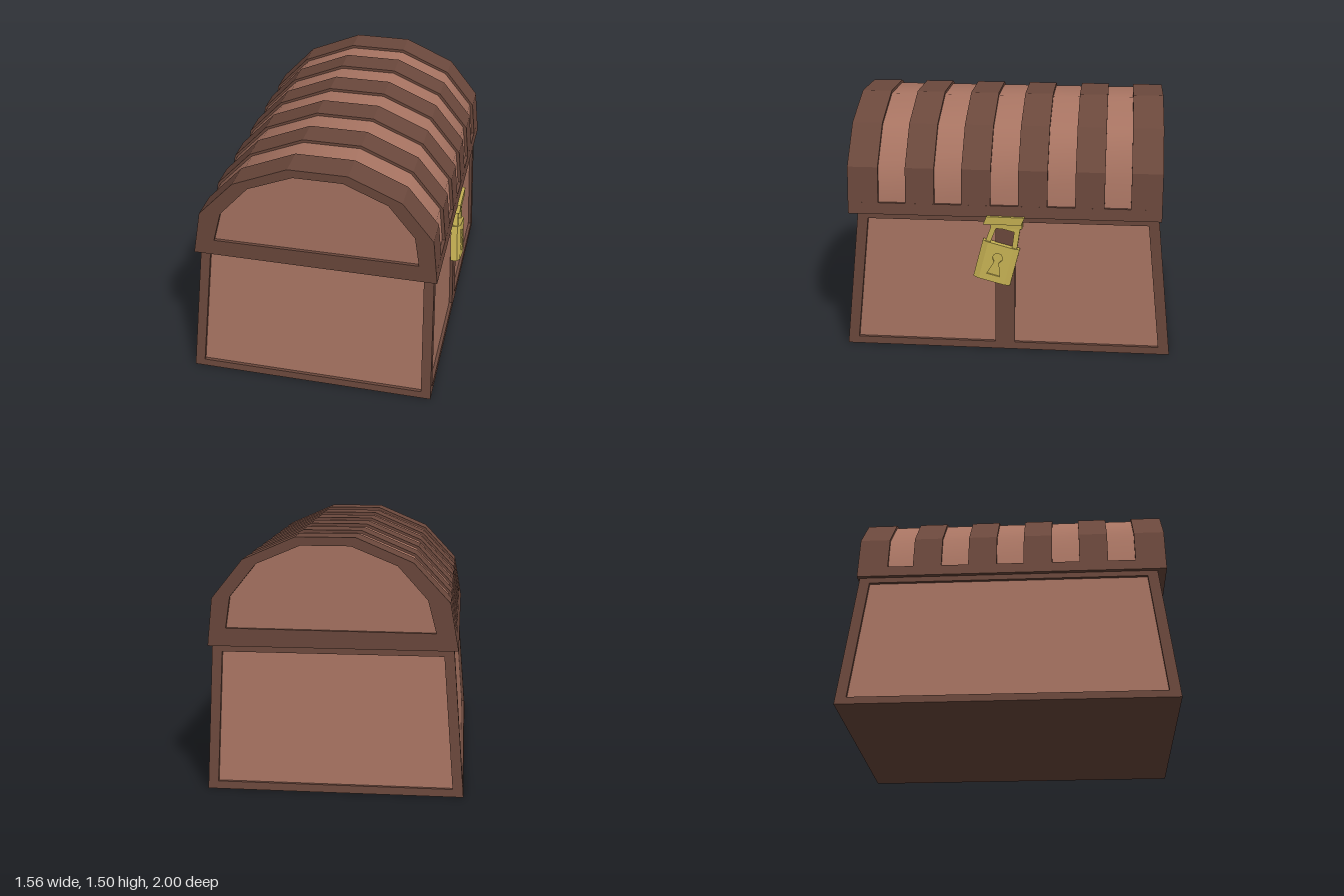
import * as THREE from 'three';
import { toCreasedNormals } from 'three/addons/utils/BufferGeometryUtils.js';

const material = (name, color) => {
  const m = new THREE.MeshStandardMaterial({ color });
  m.name = name;
  return m;
};

const shapeOf = (points) => new THREE.Shape(points.map(([x, y]) => new THREE.Vector2(x, y)));
const pathOf = (points) => new THREE.Path(points.map(([x, y]) => new THREE.Vector2(x, y)));

function extrude(points, depth, holes = []) {
  const shape = shapeOf(points);
  shape.holes = holes.map(pathOf);
  return new THREE.ExtrudeGeometry(shape, { depth, bevelEnabled: false, curveSegments: 8 });
}

// Move every vertex by a rule (x, y, z) -> [x, y, z]
function remap(geometry, rule) {
  const p = geometry.attributes.position;
  for (let i = 0; i < p.count; i++) p.setXYZ(i, ...rule(p.getX(i), p.getY(i), p.getZ(i)));
  geometry.computeVertexNormals();
  return geometry;
}

// Sloping walls of the box as functions of height
const WALL_H = 0.86;
const leftX = (y) => -0.79 + (0.07 * y) / WALL_H;
const rightX = (y) => 0.725 - (0.025 * y) / WALL_H;
const endZ = (y) => 1 - (0.09 * y) / WALL_H;

function frustum(y0, y1, inset) {
  return remap(new THREE.BoxGeometry(1, 1, 1), (x, y, z) => {
    const h = y < 0 ? y0 : y1;
    return [x < 0 ? leftX(h) + inset : rightX(h) - inset, h, Math.sign(z) * (endZ(h) - inset)];
  });
}

// Frame for one wall, drawn flat, then leaned onto the slope
function wallFrame(lo, hi, margin, post, place) {
  const y0 = 0.045, y1 = 0.82, depth = 0.025;
  const quad = (a, b, bottom, top) => [[a(bottom), bottom], [b(bottom), bottom], [b(top), top], [a(top), top]];
  const a = (y) => lo(y) + margin, b = (y) => hi(y) - margin;
  const holes = post
    ? [quad(a, () => post[0], y0, y1), quad(() => post[1], b, y0, y1)]
    : [quad(a, b, y0, y1)];
  return remap(extrude(quad(lo, hi, 0, WALL_H), depth, holes), (u, y, t) => place(u, y, t - depth));
}

export function createModel() {
  const model = new THREE.Group();
  model.name = 'treasureChest';
  const darkWood = material('dark wood', 0x6b483c);
  const lightWood = material('light wood', 0xa87462);
  const brass = material('brass', 0xc6b153);

  const add = (parent, name, geometry, mat) => {
    const mesh = new THREE.Mesh(geometry, mat);
    mesh.name = name;
    parent.add(mesh);
    return mesh;
  };

  // Box: recessed panels, floor and four wall frames
  const box = new THREE.Group();
  box.name = 'box';
  model.add(box);
  add(box, 'wallPanels', frustum(0.01, 0.86, 0.02), lightWood);
  add(box, 'floor', frustum(0, 0.03, 0.001), darkWood);
  const negZ = (y) => -endZ(y);
  add(box, 'frontFrame', wallFrame(leftX, rightX, 0.06, null,
    (u, y, t) => [u, y, endZ(y) + t]), darkWood);
  add(box, 'backFrame', wallFrame((y) => -rightX(y), (y) => -leftX(y), 0.06, null,
    (u, y, t) => [-u, y, -endZ(y) - t]), darkWood);
  add(box, 'lockSideFrame', wallFrame(negZ, endZ, 0.065, [-0.07, 0.05],
    (u, y, t) => [rightX(y) + t, y, -u]), darkWood);
  add(box, 'hingeSideFrame', wallFrame(negZ, endZ, 0.065, null,
    (u, y, t) => [leftX(y) - t, y, u]), darkWood);

  // Lid: arched profile, with bands around a slightly smaller plank core
  const lid = new THREE.Group();
  lid.name = 'lid';
  model.add(lid);
  const arch = [[-0.745, 0.855], [0.725, 0.855], [0.695, 1.14], [0.51, 1.37], [0.2, 1.505],
    [-0.15, 1.505], [-0.48, 1.365], [-0.695, 1.135]];
  const opening = [[-0.615, 0.957], [0.615, 0.963], [0.587, 1.15], [0.43, 1.345], [0.17, 1.455],
    [-0.12, 1.455], [-0.39, 1.345], [-0.565, 1.15]];
  const core = arch.map(([x, y]) => [-0.012 + (x + 0.012) * 0.972, 0.87 + (y - 0.855) * 0.95]);
  add(lid, 'planks', toCreasedNormals(extrude(core, 1.85).translate(0, 0, -0.905), 0.8), lightWood);
  const rail = [[-0.745, 0.855], [0.725, 0.855], [0.718, 0.925], [-0.7325, 0.925]];
  add(lid, 'lidRail', extrude(rail, 1.89).translate(0, 0, -0.925), darkWood);
  for (let i = 0; i < 6; i++) {
    const isEnd = i === 0 || i === 5;
    const width = isEnd ? 0.185 : 0.175;
    const z = i === 5 ? 0.78 : -0.925 + i * 0.341;
    add(lid, isEnd ? 'endBand' : 'band',
      extrude(arch, width, isEnd ? [opening] : []).translate(0, 0, z), darkWood);
  }

  // Lock, built facing +z and turned to the right wall
  const lock = new THREE.Group();
  lock.name = 'lock';
  lock.rotation.y = Math.PI / 2;
  model.add(lock);

  // Hasp: slanted block with a small lip below
  const hasp = [[-0.14, 0.815], [0.09, 0.815], [0.11, 0.862], [-0.12, 0.865]];
  add(lock, 'hasp', extrude(hasp, 0.065).translate(0, 0, 0.68), brass);
  add(lock, 'haspLip', new THREE.BoxGeometry(0.19, 0.03, 0.045).translate(0, 0.802, 0.71), brass);

  const padlock = new THREE.Group();
  padlock.name = 'padlock';
  padlock.position.set(-0.06, 0.57, 0.703);
  padlock.rotation.set(-0.07, 0, -0.25);
  lock.add(padlock);

  // Body with chamfered sides and a shallow pocket for the keyhole plate
  const section = [[-0.115, 0], [0.115, 0], [0.115, -0.042], [0.08, -0.058], [0.08, -0.045],
    [-0.08, -0.045], [-0.08, -0.058], [-0.115, -0.042]];
  add(padlock, 'lockBody', extrude(section, 0.235).rotateX(-Math.PI / 2).translate(0, -0.1175, 0), brass);
  const keyhole = [[-0.04, -0.075], [0.04, -0.075], [0.014, 0.005]];
  for (let i = 0; i <= 8; i++) {
    const a = -0.9 + (i / 8) * (Math.PI + 1.8);
    keyhole.push([0.03 * Math.cos(a), 0.035 + 0.03 * Math.sin(a)]);
  }
  keyhole.push([-0.014, 0.005]);
  const plate = [[-0.08, -0.1175], [0.08, -0.1175], [0.08, 0.1175], [-0.08, 0.1175]];
  add(padlock, 'keyholePlate', extrude(plate, 0.013, [keyhole]).translate(0, 0, 0.045), brass);

  // Shackle: tapering arch
  const shackle = [[-0.1, 0.1], [-0.07, 0.1], [-0.055, 0.215], [0.055, 0.215], [0.07, 0.1],
    [0.1, 0.1], [0.085, 0.245], [-0.085, 0.245]];
  add(padlock, 'shackle', extrude(shackle, 0.03).translate(0, 0, 0.012), brass);

  return model;
}
